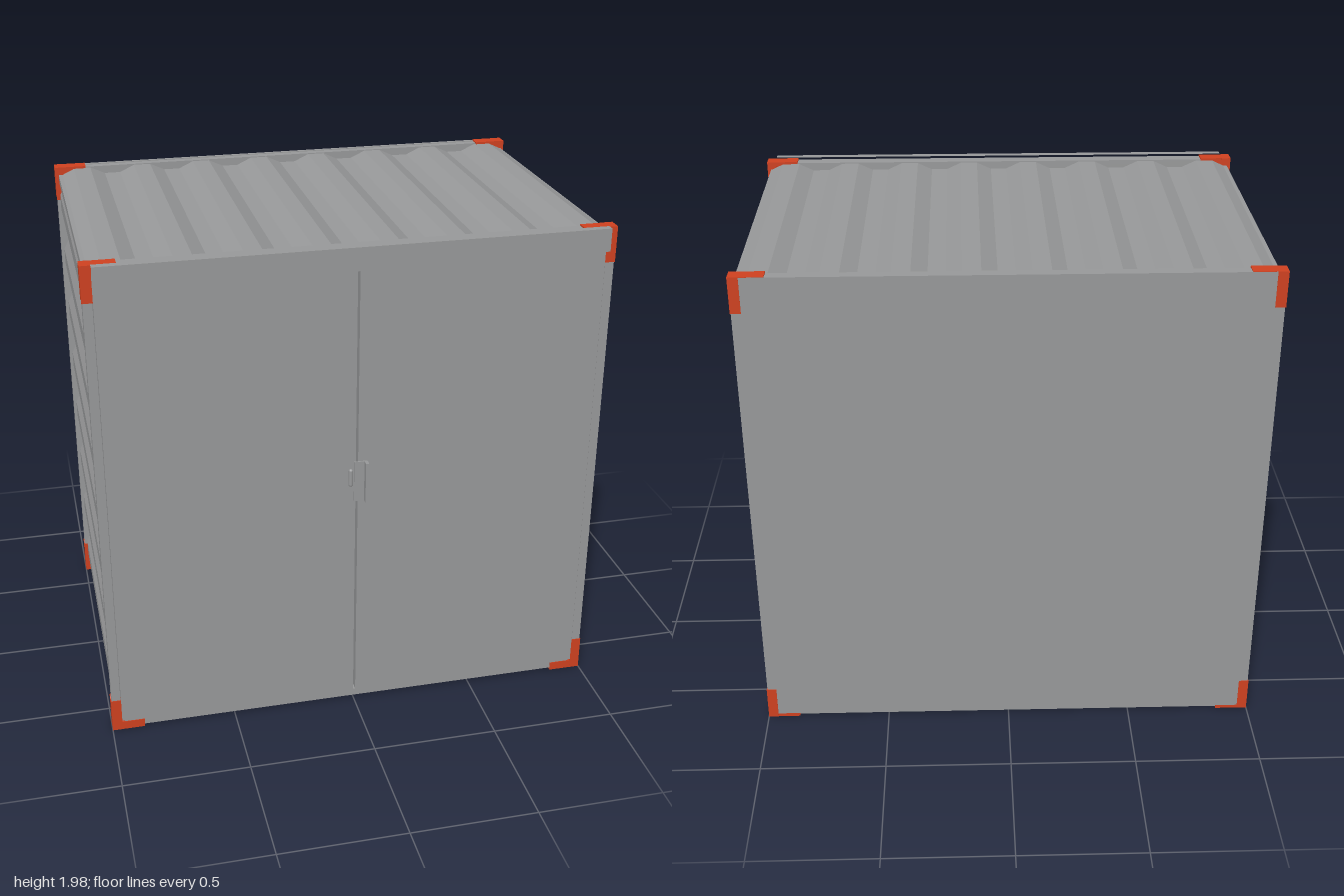
import * as THREE from 'three';

const steel = new THREE.MeshStandardMaterial({ color: 0x98999a });
steel.name = 'grey steel';
const orange = new THREE.MeshStandardMaterial({ color: 0xcf4120 });
orange.name = 'orange fitting';
const wood = new THREE.MeshStandardMaterial({ color: 0x7d6550 });
wood.name = 'brown floor';

export function createModel() {
  const root = new THREE.Group();
  root.name = 'storageContainer';

  const add = (name, geometry, material, parent = root) => {
    const mesh = new THREE.Mesh(geometry, material);
    mesh.name = name;
    parent.add(mesh);
    return mesh;
  };
  // Box given by its limits on each axis
  const box = (name, [x0, x1], [y0, y1], [z0, z1], material = steel, parent = root) => {
    const mesh = add(name, new THREE.BoxGeometry(x1 - x0, y1 - y0, z1 - z0), material, parent);
    mesh.position.set((x0 + x1) / 2, (y0 + y1) / 2, (z0 + z1) / 2);
    return mesh;
  };
  const mirrored = (s, a, b) => (s > 0 ? [a, b] : [-b, -a]);
  // Solid prism along z from a closed outline in x, y
  const prism = (points, z0, z1) => {
    const shape = new THREE.Shape(points.map(([x, y]) => new THREE.Vector2(x, y)));
    const geometry = new THREE.ExtrudeGeometry(shape, { depth: z1 - z0, bevelEnabled: false });
    return geometry.translate(0, 0, z0);
  };
  // Trapezoid wave: positions of [along, height] between two limits
  const wave = (start, end, first, period, slope, flat, low, high) => {
    const pts = [];
    for (let a = first - period; a < end + period; a += period) {
      pts.push([a, high], [a + slope, low], [a + slope + flat, low], [a + 2 * slope + flat, high]);
    }
    const heightAt = (t) => {
      const i = pts.findIndex((p) => p[0] > t);
      const [a, b] = [pts[i - 1], pts[i]];
      return a[1] + ((b[1] - a[1]) * (t - a[0])) / (b[0] - a[0]);
    };
    const inside = pts.filter((p) => p[0] > start && p[0] < end);
    return [[start, heightAt(start)], ...inside, [end, heightAt(end)]];
  };

  // Corrugated roof
  const roof = wave(-0.985, 0.985, -0.85, 0.2545, 0.06, 0.065, 1.94, 1.968);
  add('roof', prism([...roof, [0.985, 1.925], [-0.985, 1.925]], -0.635, 0.595), steel);

  // Corrugated side walls with their rails
  const side = wave(0.045, 1.93, 0.03, 0.2433, 0.06, 0.065, 0.985, 0.955);
  for (const s of [1, -1]) {
    const outline = [...side.map(([y, x]) => [s * x, y]), [s * 0.935, 1.93], [s * 0.935, 0.045]];
    add('sideWall', prism(outline, -0.635, 0.6), steel);
    box('sideTopRail', mirrored(s, 0.94, 0.985), [1.91, 1.945], [-0.635, 0.6]);
  }
  // Flat cover strip along the top of the left wall
  box('sideCoverStrip', [0.95, 0.991], [1.81, 1.908], [-0.63, 0.58]);

  // Floor
  box('floor', [-0.975, 0.975], [0.03, 0.045], [-0.635, 0.6], wood);

  // End frames: posts and cross rails
  for (const [z0, z1] of [[0.597, 0.647], [-0.678, -0.632]]) {
    for (const s of [1, -1]) box('cornerPost', mirrored(s, 0.962, 0.997), [0.02, 1.96], [z0, z1]);
    box('bottomRail', [-0.95, 0.95], [0.01, 0.04], [z0, z1]);
    box('topRail', [-0.962, 0.962], [1.89, 1.972], [z0, z1]);
  }

  // Back wall
  box('backWall', [-0.965, 0.965], [0.015, 1.975], [-0.68, -0.665]);

  // Corner fittings: a notched sleeve on the post and a foot across the end
  const sleeveShape = new THREE.Shape([
    [-0.028, 0], [0.028, 0], [0.028, 0.14], [0.015, 0.14],
    [0.009, 0.13], [-0.009, 0.13], [-0.015, 0.14], [-0.028, 0.14],
  ].map(([z, y]) => new THREE.Vector2(z, y)));
  const sleeve = new THREE.ExtrudeGeometry(sleeveShape, { depth: 0.04, bevelEnabled: false });
  sleeve.rotateY(Math.PI / 2).translate(-0.02, 0, 0);
  for (const sx of [1, -1]) {
    for (const z of [0.622, -0.653]) {
      for (const top of [false, true]) {
        const fitting = new THREE.Group();
        fitting.name = 'cornerFitting';
        const cuff = add('fittingSleeve', sleeve, orange, fitting);
        cuff.position.set(sx * 0.98, top ? 1.977 : 0, z);
        if (top) cuff.rotation.x = Math.PI;
        const y = top ? [1.942, 1.977] : [0, 0.035];
        box('fittingFoot', mirrored(sx, 0.87, 0.961), y, [z - 0.0265, z + 0.0278], orange, fitting);
        root.add(fitting);
      }
    }
  }

  // Double doors with a narrow gap between them
  box('doorRight', [-0.96, -0.002], [0.042, 1.888], [0.61, 0.65]);
  box('doorLeft', [0.008, 0.96], [0.042, 1.888], [0.61, 0.65]);
  box('doorGapBacking', [-0.01, 0.02], [0.042, 1.888], [0.6, 0.615]);

  // Header hood over the doors, open at both ends
  const hood = new THREE.Group();
  hood.name = 'doorHood';
  root.add(hood);
  const plate = (name, w, h, y, z, turn) => {
    const mesh = add(name, new THREE.PlaneGeometry(w, h), steel, hood);
    mesh.position.set(0.002, y, z);
    mesh.rotation.x = turn;
  };
  plate('hoodFront', 1.925, 0.09, 1.935, 0.68, 0);
  plate('hoodTop', 1.925, 0.03, 1.98, 0.665, -Math.PI / 2);
  plate('hoodBottom', 1.925, 0.03, 1.89, 0.665, Math.PI / 2);

  // Lock guard over the gap, its raised lip and the lever
  box('lockGuard', [-0.008, 0.045], [0.935, 1.105], [0.65, 0.656]);
  box('lockGuardLip', [0.032, 0.045], [0.935, 1.105], [0.656, 0.68]);
  const lever = add('doorLever', new THREE.CapsuleGeometry(0.009, 0.058, 4, 10), steel);
  lever.position.set(-0.025, 1.047, 0.669);
  const stem = add('leverStem', new THREE.CylinderGeometry(0.006, 0.006, 0.02, 10), steel);
  stem.rotation.x = Math.PI / 2;
  stem.position.set(-0.025, 1.06, 0.658);

  return root;
}
